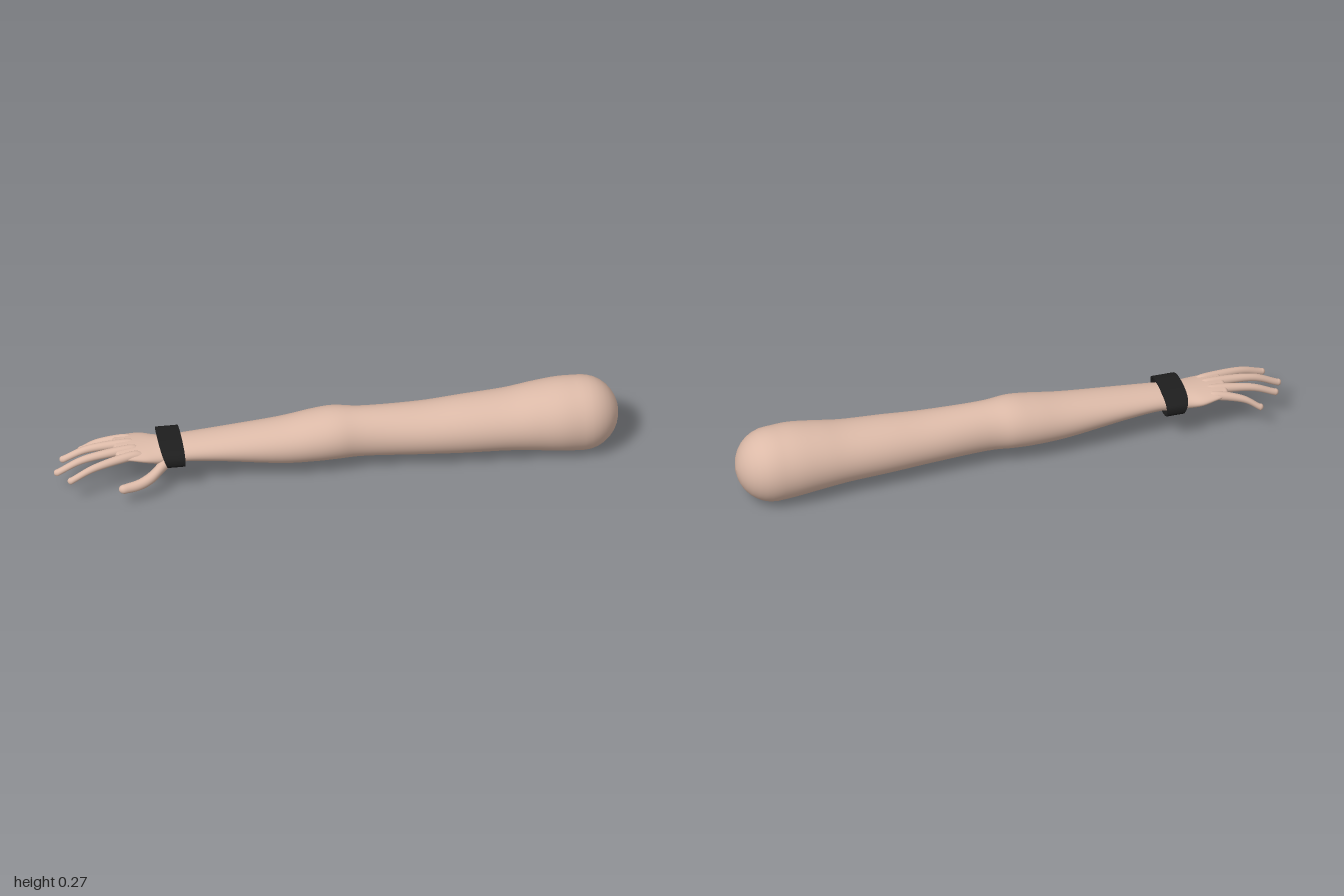
import * as THREE from 'three';

// Smooth loft along +x. Each section: [x, centreY, centreZ, radiusY, radiusZ].
// capStart / capEnd are the lengths of the rounded ends.
function loft(sections, steps, sides, capStart, capEnd) {
  const centres = new THREE.CatmullRomCurve3(
    sections.map((s) => new THREE.Vector3(s[0], s[1], s[2])), false, 'catmullrom');
  const radii = new THREE.CatmullRomCurve3(
    sections.map((s) => new THREE.Vector3(s[3], s[4], 0)), false, 'catmullrom');
  const rings = [];
  const addRing = (t, dx, scale) => {
    const c = centres.getPoint(t);
    const r = radii.getPoint(t);
    rings.push([c.x + dx, c.y, c.z, r.x * scale, r.y * scale]);
  };
  const capSteps = 8;
  const quarter = (i) => (i / capSteps) * Math.PI / 2;
  for (let i = 0; i < capSteps; i++) {
    addRing(0, -capStart * Math.cos(quarter(i)), Math.max(Math.sin(quarter(i)), 0.001));
  }
  for (let i = 0; i <= steps; i++) addRing(i / steps, 0, 1);
  for (let i = 1; i <= capSteps; i++) {
    addRing(1, capEnd * Math.sin(quarter(i)), Math.max(Math.cos(quarter(i)), 0.001));
  }

  const positions = [];
  const indices = [];
  rings.forEach(([x, y, z, ry, rz], i) => {
    for (let j = 0; j < sides; j++) {
      const a = (j / sides) * Math.PI * 2;
      positions.push(x, y + ry * Math.cos(a), z + rz * Math.sin(a));
      if (i === rings.length - 1) continue;
      const p = i * sides + j;
      const q = i * sides + (j + 1) % sides;
      indices.push(p, q, p + sides, q, q + sides, p + sides);
    }
  });
  const geometry = new THREE.BufferGeometry();
  geometry.setAttribute('position', new THREE.Float32BufferAttribute(positions, 3));
  geometry.setIndex(indices);
  geometry.computeVertexNormals();
  return geometry;
}

// Flattened oval outline, squarer than an ellipse
function ovalPoints(rx, ry, count = 64) {
  const power = (v) => Math.sign(v) * Math.pow(Math.abs(v), 0.8);
  return Array.from({ length: count }, (_, i) => {
    const a = (i / count) * Math.PI * 2;
    return new THREE.Vector2(rx * power(Math.cos(a)), ry * power(Math.sin(a)));
  });
}

export function createModel() {
  const model = new THREE.Group();
  const skin = new THREE.MeshStandardMaterial({ color: 0xdcbaa8 });
  skin.name = 'skin';
  const black = new THREE.MeshStandardMaterial({ color: 0x1e1e1e });
  black.name = 'black band';

  const add = (name, geometry, material) => {
    const mesh = new THREE.Mesh(geometry, material);
    mesh.name = name;
    model.add(mesh);
    return mesh;
  };

  // Palm, wrist, forearm, elbow, upper arm and rounded shoulder
  add('arm', loft([
    [-0.77, 0.146, -0.018, 0.015, 0.07],
    [-0.73, 0.144, -0.02, 0.021, 0.078],
    [-0.68, 0.138, -0.02, 0.029, 0.083],
    [-0.63, 0.132, -0.013, 0.037, 0.073],
    [-0.58, 0.132, -0.009, 0.041, 0.066],
    [-0.52, 0.137, -0.008, 0.042, 0.068],
    [-0.4, 0.136, -0.008, 0.053, 0.077],
    [-0.2, 0.131, -0.009, 0.077, 0.092],
    [-0.08, 0.138, -0.011, 0.089, 0.1],
    [0.0, 0.143, -0.011, 0.093, 0.099],
    [0.1, 0.14, -0.008, 0.09, 0.086],
    [0.3, 0.135, -0.005, 0.092, 0.099],
    [0.45, 0.136, -0.006, 0.1, 0.11],
    [0.6, 0.138, -0.008, 0.107, 0.118],
    [0.7, 0.141, -0.009, 0.119, 0.127],
    [0.79, 0.141, -0.009, 0.13, 0.134],
    [0.87, 0.137, -0.011, 0.134, 0.131],
  ], 80, 48, 0.015, 0.13), skin);

  // Fingers: tip, mid joint and knuckle as [x, y, z]
  const fingers = {
    littleFinger: [[-0.885, 0.089, -0.107], [-0.83, 0.124, -0.092], [-0.74, 0.145, -0.074]],
    ringFinger: [[-0.958, 0.098, -0.047], [-0.87, 0.135, -0.045], [-0.74, 0.15, -0.038]],
    middleFinger: [[-0.987, 0.09, 0.018], [-0.89, 0.134, 0.013], [-0.74, 0.152, 0.002]],
    indexFinger: [[-0.948, 0.098, 0.085], [-0.86, 0.132, 0.066], [-0.73, 0.148, 0.037]],
  };
  for (const [name, [tip, mid, knuckle]] of Object.entries(fingers)) {
    add(name, loft([
      [...tip, 0.013, 0.012],
      [...mid, 0.014, 0.014],
      [...knuckle, 0.017, 0.017],
      [knuckle[0] + 0.05, knuckle[1] - 0.004, knuckle[2] * 0.9, 0.012, 0.013],
    ], 20, 16, 0.013, 0.02), skin);
  }

  // Thumb, spreading forward and down from the palm
  add('thumb', loft([
    [-0.765, 0.071, 0.123, 0.017, 0.016],
    [-0.71, 0.074, 0.109, 0.02, 0.019],
    [-0.66, 0.088, 0.086, 0.023, 0.024],
    [-0.61, 0.112, 0.045, 0.024, 0.029],
    [-0.56, 0.125, 0.012, 0.02, 0.025],
  ], 24, 20, 0.02, 0.03), skin);

  // Open wristband, wider than the wrist and slanted on the hand side
  const outline = new THREE.Shape(ovalPoints(0.105, 0.041));
  outline.holes.push(new THREE.Path(ovalPoints(0.096, 0.034).reverse()));
  const bandGeometry = new THREE.ExtrudeGeometry(outline, { depth: 0.085, bevelEnabled: false });
  bandGeometry.rotateY(Math.PI / 2);
  bandGeometry.translate(-0.63, 0.139, -0.012);
  const p = bandGeometry.attributes.position;
  for (let i = 0; i < p.count; i++) {
    if (p.getX(i) < -0.6) p.setX(i, p.getX(i) + (0.18 - p.getY(i)) * 0.38);
  }
  bandGeometry.computeVertexNormals();
  add('wristband', bandGeometry, black);

  return model;
}
